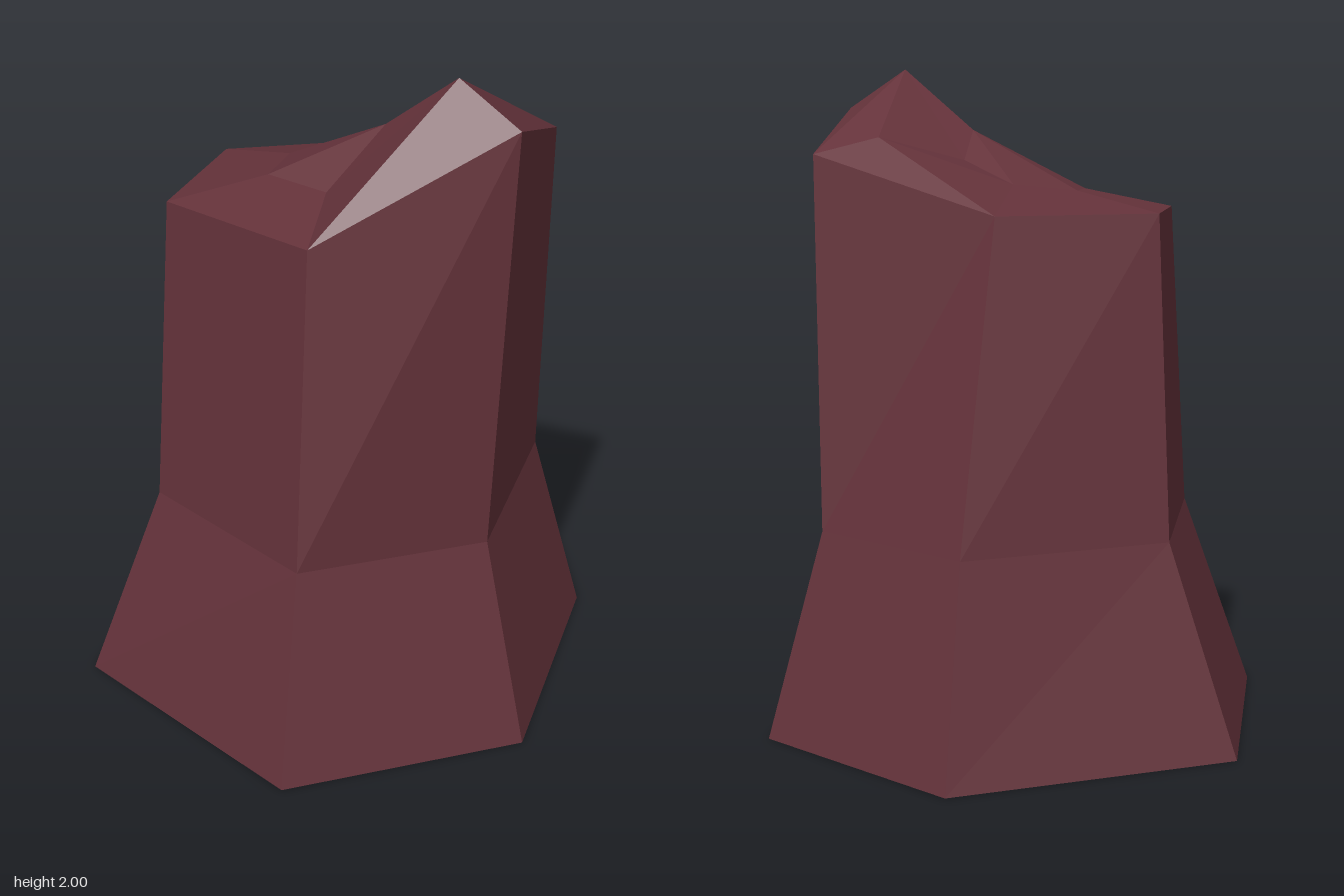
import * as THREE from 'three';

// Faceted six-sided stump with a flared foot and a broken, sloping top
export function createModel() {
  const group = new THREE.Group();
  group.name = 'stump';
  const bark = new THREE.MeshStandardMaterial({ color: 0x64323a, side: THREE.DoubleSide });
  bark.name = 'dark red bark';

  // Cross-sections run back, right-back, right-front, front, left-front, left-back
  const ring = (xb, xr, xl, zEnd, zSide, y) => [
    [xb, y, -zEnd], [xr, y, -zSide], [xr, y, zSide],
    [xb, y, zEnd], [xl, y, zSide], [xl, y, -zSide],
  ];
  const foot = ring(0.08, 0.7, -0.7, 0.87, 0.435, 0);
  const waist = ring(0.07, 0.55, -0.49, 0.68, 0.34, 0.62);
  const rim = [
    [0.01, 1.57, -0.43], [0.6, 1.74, -0.19], [0.6, 1.88, 0.31],
    [0.07, 1.57, 0.56], [-0.44, 1.57, 0.31], [-0.44, 1.57, -0.19],
  ];
  const core = [
    [0, 1.65, -0.14], [0.17, 1.72, -0.02], [0.17, 1.81, 0.14],
    [0.03, 1.63, 0.26], [-0.18, 1.63, 0.16], [-0.18, 1.63, -0.04],
  ];
  const peakBack = [0.41, 1.79, -0.14];
  const peakFront = [0.41, 2, 0.26];

  // Flat polygons, each fanned from its first corner, counter-clockwise outside
  function addPart(name, polygons) {
    const points = [];
    for (const p of polygons) {
      for (let i = 1; i < p.length - 1; i++) points.push(...p[0], ...p[i], ...p[i + 1]);
    }
    const geometry = new THREE.BufferGeometry();
    geometry.setAttribute('position', new THREE.Float32BufferAttribute(points, 3));
    geometry.computeVertexNormals();
    const mesh = new THREE.Mesh(geometry, bark);
    mesh.name = name;
    group.add(mesh);
  }

  const band = (low, high) => low.map((p, i) => {
    const j = (i + 1) % 6;
    return [low[j], p, high[i], high[j]];
  });
  addPart('flaredFoot', band(foot, waist));
  addPart('trunk', band(waist, rim));
  addPart('underside', [foot]);

  // Broken top: low ledge on the left, raised splinter on the right
  addPart('ledge', [3, 4, 5].map((i) => {
    const j = (i + 1) % 6;
    return [rim[j], rim[i], core[i], core[j]];
  }));
  addPart('splinter', [
    [peakBack, rim[1], rim[0]],
    [peakFront, rim[2], rim[1], peakBack],
    [peakFront, rim[3], rim[2]],
    [peakFront, peakBack, core[1], core[2]],
    [peakFront, core[2], core[3], rim[3]],
    [peakBack, rim[0], core[0], core[1]],
  ]);
  addPart('heartwood', [[core[2], core[1], core[0], core[5], core[4], core[3]]]);

  return group;
}
